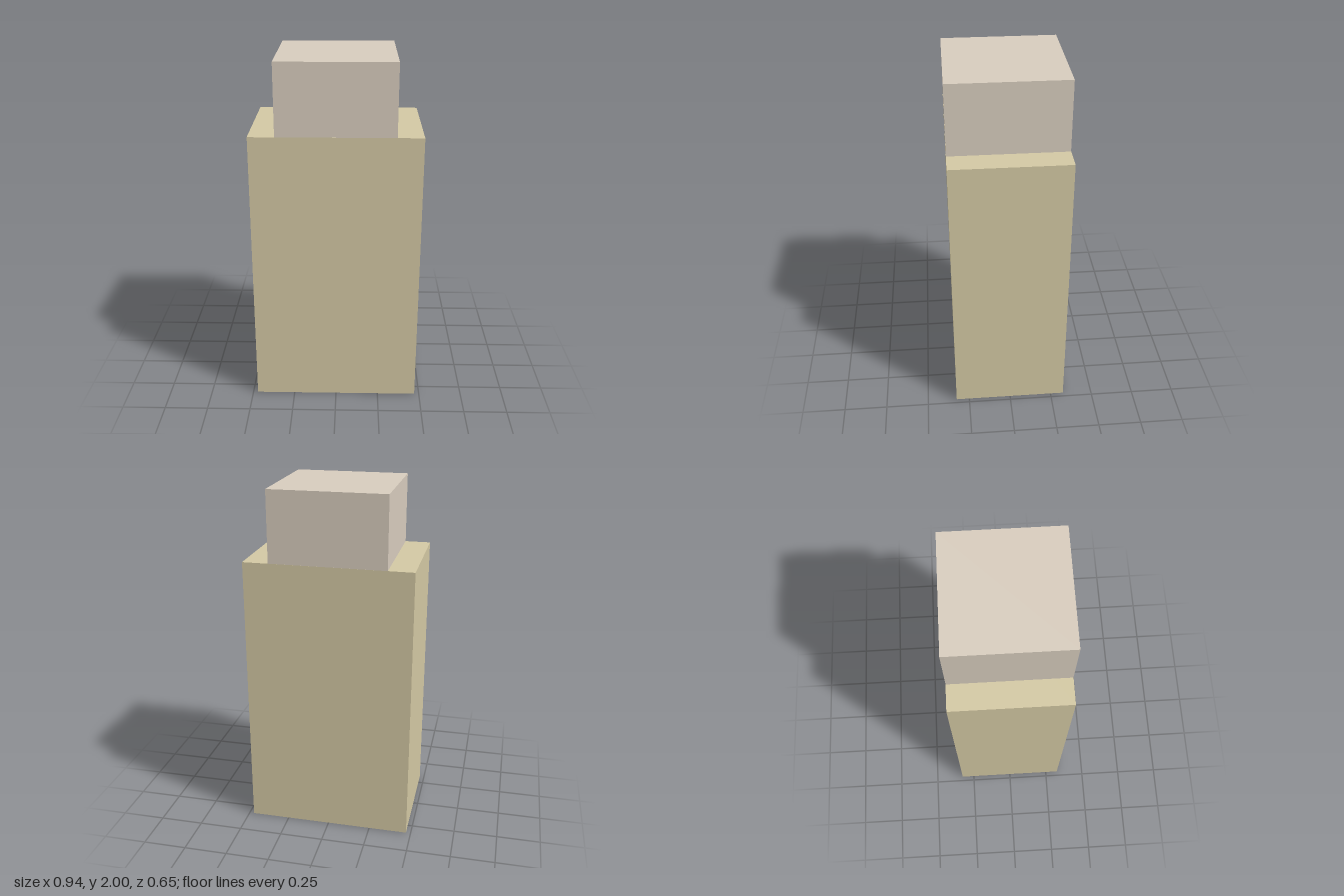
import * as THREE from 'three';

function block(name, size, bottom, color) {
  const mesh = new THREE.Mesh(
    new THREE.BoxGeometry(...size),
    new THREE.MeshStandardMaterial({ color })
  );
  mesh.name = name;
  mesh.position.y = bottom + size[1] / 2;
  return mesh;
}

export function createModel() {
  const group = new THREE.Group();
  group.name = 'steppedBlock';

  // Tall main body
  group.add(block('body', [0.945, 1.6, 0.654], 0, 0xd4c9a4));

  // Cube sunk into the top, a hair shallower so its faces stay clear of the body's
  group.add(block('topCube', [0.654, 0.654, 0.653], 1.346, 0xd8cdbe));

  return group;
}
